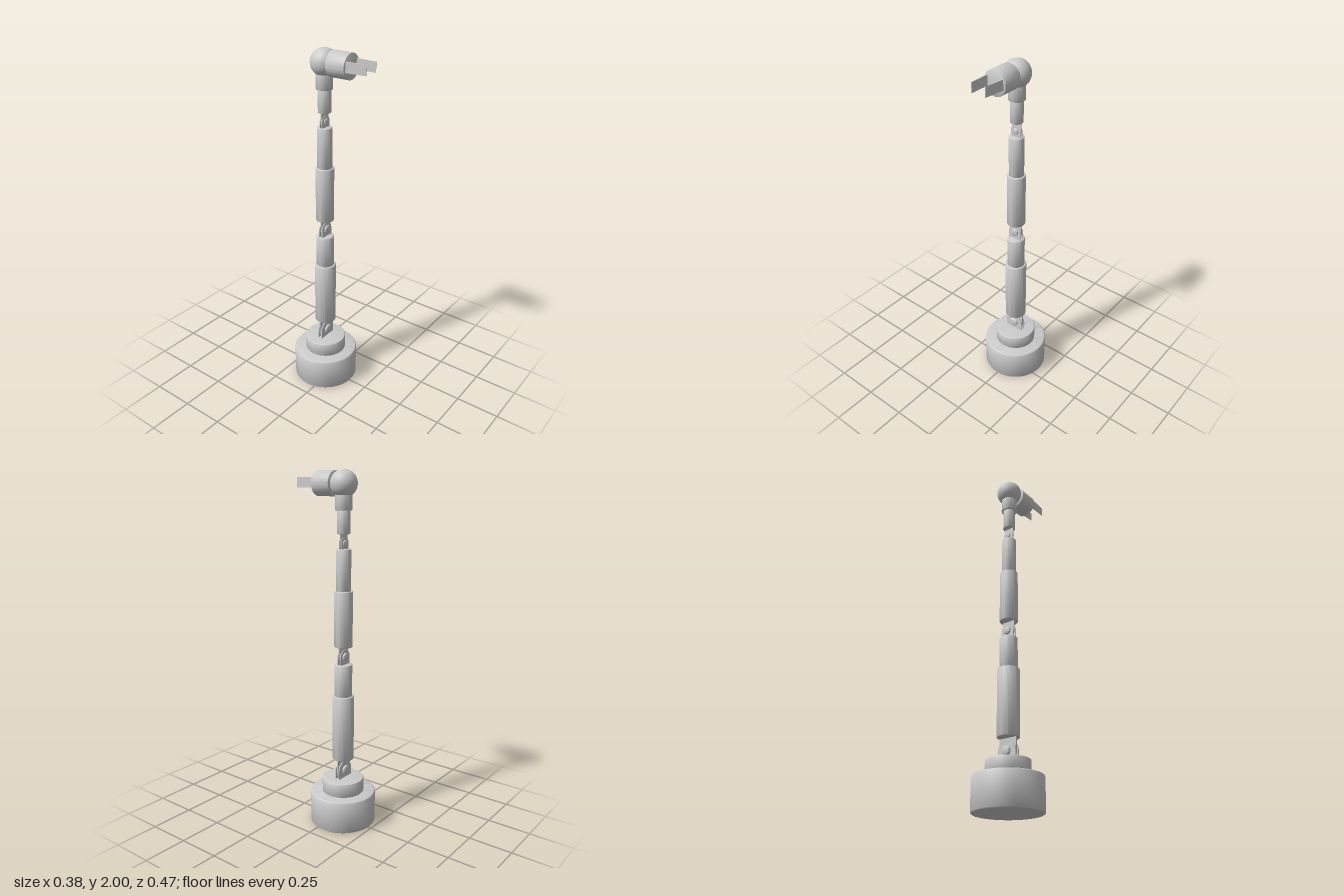
import * as THREE from 'three';
import { toCreasedNormals } from 'three/addons/utils/BufferGeometryUtils.js';

const material = new THREE.MeshStandardMaterial({ color: 0xcccccc });

function add(parent, name, geometry, x = 0, y = 0, z = 0) {
  const mesh = new THREE.Mesh(geometry, material);
  mesh.name = name;
  mesh.position.set(x, y, z);
  parent.add(mesh);
  return mesh;
}

// Solid cylinder from y0 to y1 with softly rounded rims
function roundedCylinder(radius, y0, y1, bevel) {
  const points = [new THREE.Vector2(0, y0)];
  for (let i = 0; i <= 4; i++) {
    const a = (i / 4) * Math.PI / 2;
    points.push(new THREE.Vector2(radius - bevel + bevel * Math.sin(a), y0 + bevel - bevel * Math.cos(a)));
  }
  for (let i = 0; i <= 4; i++) {
    const a = (i / 4) * Math.PI / 2;
    points.push(new THREE.Vector2(radius - bevel + bevel * Math.cos(a), y1 - bevel + bevel * Math.sin(a)));
  }
  points.push(new THREE.Vector2(0, y1));
  return toCreasedNormals(new THREE.LatheGeometry(points, 64), 0.6);
}

// Upright lug: round end at the origin, square end reaching to y = -length
function lugGeometry(halfWidth, length, thickness) {
  const shape = new THREE.Shape();
  shape.moveTo(-halfWidth, -length);
  shape.lineTo(halfWidth, -length);
  shape.lineTo(halfWidth, 0);
  shape.absarc(0, 0, halfWidth, 0, Math.PI, false);
  shape.closePath();
  const geometry = new THREE.ExtrudeGeometry(shape, { depth: thickness, bevelEnabled: false, curveSegments: 24 });
  geometry.translate(0, 0, -thickness / 2);
  return toCreasedNormals(geometry, 0.6);
}

// Hinge: two lugs from below, one tongue from above, and a domed pin
function addHinge(parent, name, { y, bottom, top, width, pinRadius, pinHalf }) {
  const hinge = new THREE.Group();
  hinge.name = name;
  hinge.position.y = y;
  const plate = pinHalf * 0.22;
  for (const side of [-1, 1]) {
    add(hinge, side > 0 ? 'frontLug' : 'backLug', lugGeometry(width, y - bottom, plate), 0, 0, side * pinHalf * 0.42);
  }
  const tongue = add(hinge, 'tongue', lugGeometry(width * 0.95, top - y, plate * 1.3));
  tongue.rotation.z = Math.PI;
  const pin = add(hinge, 'pin', roundedCylinder(pinRadius, -pinHalf, pinHalf, pinHalf * 0.35));
  pin.rotation.x = Math.PI / 2;
  parent.add(hinge);
}

export function createModel() {
  const model = new THREE.Group();
  model.name = 'robotArm';
  const arm = new THREE.Group();
  arm.name = 'arm';
  arm.position.z = -0.048;
  model.add(arm);

  // Base and telescoping tubes: name, radius, bottom, top, rim rounding
  const tubes = [
    ['base', 0.1875, 0, 0.19, 0.01],
    ['turntable', 0.119, 0.185, 0.27, 0.005],
    ['lowerArmSleeve', 0.061, 0.385, 0.767, 0.005],
    ['lowerArmRod', 0.05, 0.76, 0.95, 0.004],
    ['upperArmSleeve', 0.051, 1.05, 1.362, 0.004],
    ['upperArmRod', 0.041, 1.355, 1.588, 0.004],
    ['wristRod', 0.035, 1.667, 1.8, 0.003],
    ['wristCollar', 0.045, 1.79, 1.9, 0.003],
  ];
  for (const [name, radius, y0, y1, bevel] of tubes) add(arm, name, roundedCylinder(radius, y0, y1, bevel));

  // Hinged joints
  addHinge(arm, 'shoulderHinge', { y: 0.315, bottom: 0.265, top: 0.39, width: 0.057, pinRadius: 0.027, pinHalf: 0.028 });
  addHinge(arm, 'elbowHinge', { y: 0.993, bottom: 0.945, top: 1.055, width: 0.041, pinRadius: 0.023, pinHalf: 0.023 });
  addHinge(arm, 'wristHinge', { y: 1.618, bottom: 1.584, top: 1.672, width: 0.032, pinRadius: 0.017, pinHalf: 0.016 });

  // Ball joint and gripper housing
  const headY = 1.927;
  add(arm, 'ballJoint', new THREE.SphereGeometry(0.073, 48, 32), 0, headY, 0);
  const housing = add(model, 'gripperHousing', roundedCylinder(0.067, 0.006, 0.121, 0.002), 0, headY, 0);
  housing.rotation.x = Math.PI / 2;

  // Tapered gripper blades: outline in x and z, extruded upwards
  for (const [name, x0, x1, tip] of [['rightBlade', -0.054, -0.043, -0.0425], ['leftBlade', 0.042, 0.053, 0.0415]]) {
    const outline = new THREE.Shape([
      new THREE.Vector2(x0, -0.115),
      new THREE.Vector2(tip - 0.001, -0.236),
      new THREE.Vector2(tip + 0.001, -0.236),
      new THREE.Vector2(x1, -0.115),
    ]);
    const blade = new THREE.ExtrudeGeometry(outline, { depth: 0.054, bevelEnabled: false });
    blade.rotateX(-Math.PI / 2);
    add(model, name, blade, 0, headY - 0.022, 0);
  }
  return model;
}
